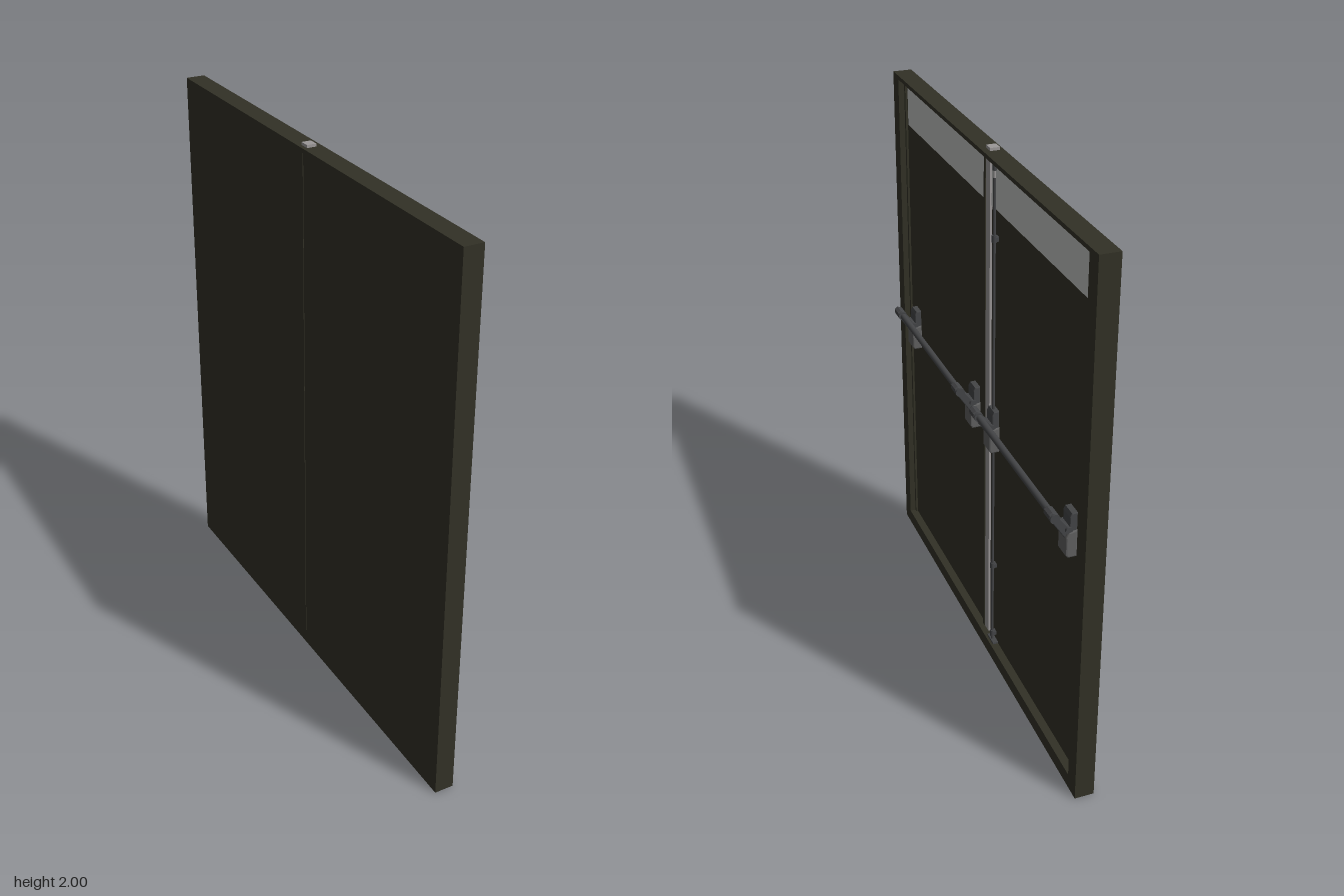
import * as THREE from 'three';

const mat = (name, color) => {
  const m = new THREE.MeshStandardMaterial({ color });
  m.name = name;
  return m;
};

export function createModel() {
  const door = mat('dark olive paint', 0x323126);
  const glass = mat('pale glass', 0xbfc1bf);
  const steel = mat('light steel', 0x9b9898);
  const cover = mat('grey cover', 0x606060);
  const dark = mat('dark metal', 0x444547);
  const root = new THREE.Group();
  root.name = 'doubleDoor';

  const add = (parent, name, geo, material) => {
    const m = new THREE.Mesh(geo, material);
    m.name = name;
    parent.add(m);
    return m;
  };
  // box given by its limits on each axis
  const box = (parent, name, material, x0, x1, y0, y1, z0, z1) => {
    const m = add(parent, name, new THREE.BoxGeometry(x1 - x0, y1 - y0, z1 - z0), material);
    m.position.set((x0 + x1) / 2, (y0 + y1) / 2, (z0 + z1) / 2);
    return m;
  };
  // side profile in x and y, extruded along z and centred on z
  const profile = (parent, name, material, pts, width, bevel = 0.003) => {
    const shape = new THREE.Shape(pts.map(([x, y]) => new THREE.Vector2(x, y)));
    const depth = width - 2 * bevel;
    const geo = new THREE.ExtrudeGeometry(shape, {
      depth, bevelEnabled: true, bevelSize: bevel, bevelOffset: -bevel, bevelThickness: bevel, bevelSegments: 2,
    });
    geo.translate(0, 0, -depth / 2);
    return add(parent, name, geo, material);
  };
  const rod = (parent, name, material, radius, length, sides = 16) =>
    add(parent, name, new THREE.CylinderGeometry(radius, radius, length, sides), material);

  const FACE = -0.03; // front of the recessed leaves

  // outer frame
  const frame = new THREE.Group();
  frame.name = 'frame';
  root.add(frame);
  box(frame, 'sill', door, -0.07, 0, 0, 0.055, -0.865, 0.865);
  box(frame, 'header', door, -0.07, 0, 1.975, 1.99, -0.865, 0.865);
  for (const s of [1, -1]) {
    const z = [s * 0.865, s * 0.925].sort((a, b) => a - b);
    box(frame, 'jamb', door, -0.07, 0, 0, 1.99, ...z);
    const t = [s * 0.853, s * 0.865].sort((a, b) => a - b);
    box(frame, 'jambStop', door, -0.05, -0.022, 0.055, 1.975, ...t);
  }

  // two leaves, each with a glazed strip at the top
  box(root, 'leftLeaf', door, -0.07, FACE, 0.055, 1.975, -0.004, 0.865);
  box(root, 'rightLeaf', door, -0.07, FACE, 0.055, 1.975, -0.865, -0.008);
  box(root, 'leftWindow', glass, FACE - 0.003, FACE + 0.002, 1.805, 1.974, 0.028, 0.843);
  box(root, 'rightWindow', glass, FACE - 0.003, FACE + 0.002, 1.805, 1.974, -0.84, -0.04);

  // centre post and the cover strip beside it
  box(root, 'coverStrip', door, FACE, -0.02, 0.055, 1.975, -0.002, 0.012);
  box(root, 'centrePost', steel, -0.056, -0.022, 0.055, 2, -0.041, -0.004);

  // vertical latch rod with its guides
  const latch = new THREE.Group();
  latch.name = 'latchRod';
  latch.position.set(-0.017, 0, -0.095);
  root.add(latch);
  rod(latch, 'lowerRod', dark, 0.005, 0.86, 10).position.y = 0.49;
  rod(latch, 'upperRod', dark, 0.005, 0.86, 10).position.y = 1.49;
  rod(latch, 'topBolt', dark, 0.007, 0.03, 10).position.y = 1.96;
  rod(latch, 'boltTip', steel, 0.004, 0.03, 10).position.y = 1.932;
  for (const y of [0.09, 0.405, 1.71]) {
    rod(latch, 'guide', dark, 0.009, 0.025, 12).position.y = y;
    box(latch, 'guideFoot', dark, -0.013, 0, y - 0.008, y + 0.008, -0.01, 0.01);
  }
  box(latch, 'floorKeeper', dark, -0.013, 0.008, 0.055, 0.062, -0.03, 0.03);

  // end mechanism of a push bar
  const mechanism = (parent, z) => {
    const g = new THREE.Group();
    g.name = 'barMechanism';
    g.position.z = z;
    parent.add(g);
    profile(g, 'backPlate', dark,
      [[FACE, 0.918], [-0.008, 0.918], [-0.004, 0.93], [-0.004, 1.058], [-0.01, 1.072], [FACE, 1.072]], 0.056);
    profile(g, 'lowerCover', cover,
      [[FACE, 0.91], [0.002, 0.91], [0.009, 0.92], [0.009, 0.985], [0, 1.005], [FACE, 1.01]], 0.066, 0.005);
    profile(g, 'arm', dark,
      [[-0.01, 0.985], [0.01, 0.982], [0.046, 1.036], [0.064, 1.064], [0.065, 1.078],
        [0.054, 1.086], [0.04, 1.08], [0.024, 1.055], [-0.008, 1.012]], 0.044);
    const cap = rod(g, 'barSocket', dark, 0.017, 0.054);
    cap.rotation.x = Math.PI / 2;
    cap.position.set(0.046, 1.063, 0);
    const pin = rod(g, 'pivot', dark, 0.012, 0.062);
    pin.rotation.x = Math.PI / 2;
    pin.position.set(-0.002, 1.012, 0);
  };

  // one push bar on each leaf
  for (const [name, z0, z1] of [['leftPushBar', 0.097, 0.77], ['rightPushBar', -0.768, -0.093]]) {
    const g = new THREE.Group();
    g.name = name;
    root.add(g);
    const bar = rod(g, 'bar', dark, 0.012, z1 - z0, 20);
    bar.rotation.x = Math.PI / 2;
    bar.position.set(0.044, 1.061, (z0 + z1) / 2);
    mechanism(g, z0);
    mechanism(g, z1);
  }
  return root;
}
